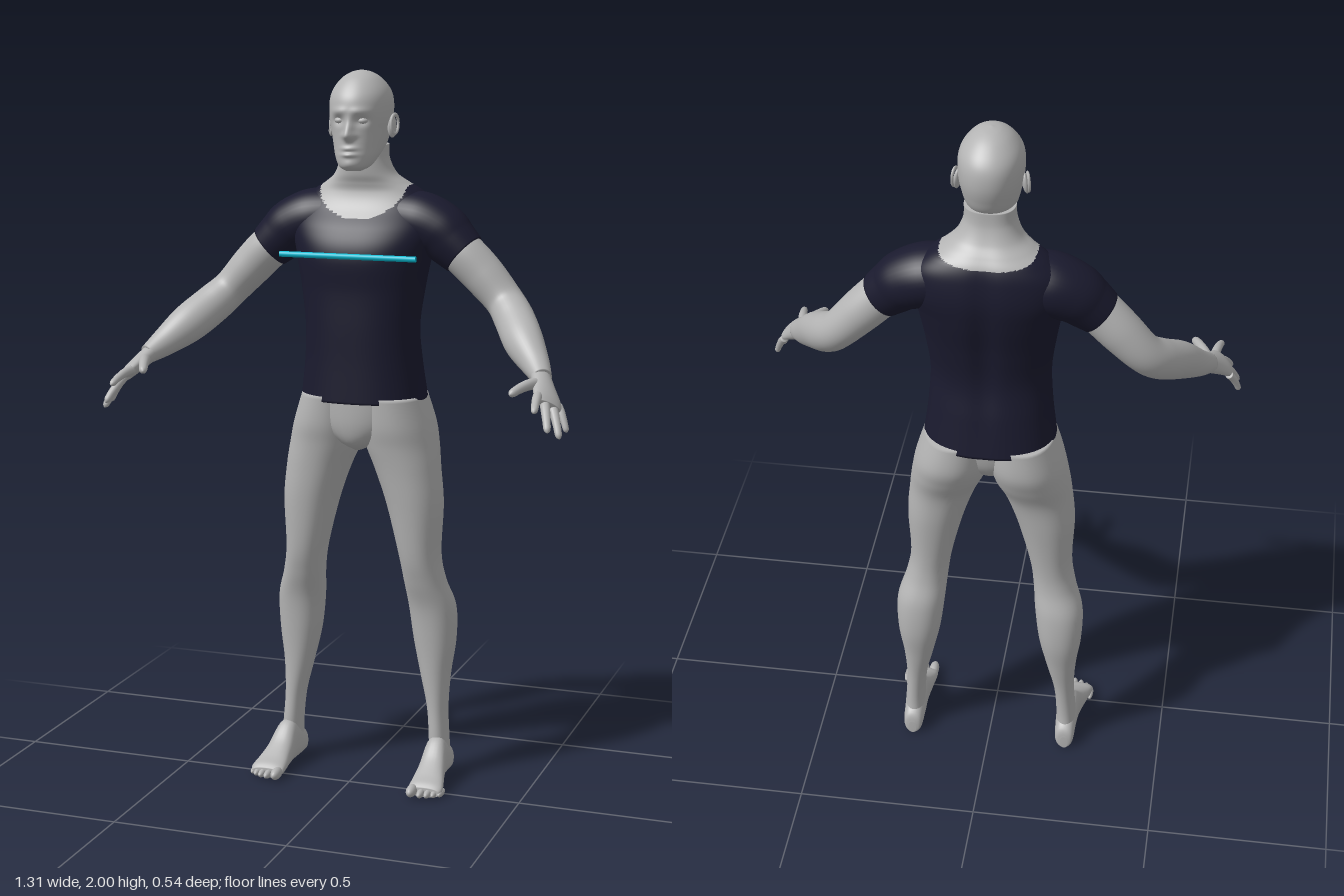
import * as THREE from 'three';

const mat = (name, color) => {
  const m = new THREE.MeshStandardMaterial({ color });
  m.name = name;
  return m;
};
const V3 = (x, y, z) => new THREE.Vector3(x, y, z);

// Smooth interpolation of a list of rows, 'steps' samples for each gap
function refine(rows, steps) {
  const out = [];
  const at = i => rows[Math.max(0, Math.min(rows.length - 1, i))];
  for (let i = 0; i < rows.length - 1; i++)
    for (let s = 0; s < steps; s++) {
      const t = s / steps;
      out.push(rows[i].map((p1, k) => {
        const p0 = at(i - 1)[k], p2 = at(i + 1)[k], p3 = at(i + 2)[k];
        return 0.5 * (2 * p1 + (p2 - p0) * t + (2 * p0 - 5 * p1 + 4 * p2 - p3) * t * t
          + (3 * p1 - p0 - 3 * p2 + p3) * t * t * t);
      }));
    }
  out.push(rows[rows.length - 1]);
  return out;
}

// Skin over rounded cross-sections; each row is [x, y, z, half width, half depth].
// 'axis' fixes the ring direction, otherwise rings follow the path.
function loft(name, rows, materials, o = {}) {
  const { ref = V3(1, 0, 0), axis, segs = 32, steps = 6, power = 2, sculpt, pick } = o;
  const r = refine(rows, steps), pos = [], tris = [[], []];
  const centre = i => V3(...r[Math.max(0, Math.min(r.length - 1, i))]);
  for (let i = 0; i < r.length; i++) {
    const T = axis || centre(i + 1).sub(centre(i - 1)).normalize();
    const U = ref.clone().addScaledVector(T, -ref.dot(T)).normalize();
    const W = T.clone().cross(U);
    for (let j = 0; j < segs; j++) {
      const a = j / segs * Math.PI * 2, c = Math.cos(a), s = Math.sin(a);
      const p = centre(i)
        .addScaledVector(U, Math.sign(c) * Math.abs(c) ** (2 / power) * r[i][3])
        .addScaledVector(W, Math.sign(s) * Math.abs(s) ** (2 / power) * r[i][4]);
      if (sculpt) sculpt(p);
      pos.push(p.x, p.y, p.z);
    }
  }
  const last = (r.length - 1) * segs, n = r.length * segs;
  pos.push(...centre(0).toArray(), ...centre(r.length - 1).toArray());
  const point = i => V3(pos[3 * i], pos[3 * i + 1], pos[3 * i + 2]);
  const tri = (a, b, c) => {
    const mid = point(a).add(point(b)).add(point(c)).divideScalar(3);
    tris[pick ? pick(mid) : 0].push(a, b, c);
  };
  for (let j = 0; j < segs; j++) {
    const k = (j + 1) % segs;
    for (let i = 0; i < last; i += segs) {
      tri(i + j, i + k, i + segs + k);
      tri(i + j, i + segs + k, i + segs + j);
    }
    tri(n, k, j);
    tri(n + 1, last + j, last + k);
  }
  const g = new THREE.BufferGeometry();
  g.setAttribute('position', new THREE.Float32BufferAttribute(pos, 3));
  g.setIndex([...tris[0], ...tris[1]]);
  if (pick) {
    g.addGroup(0, tris[0].length, 0);
    g.addGroup(tris[0].length, tris[1].length, 1);
  }
  g.computeVertexNormals();
  const m = new THREE.Mesh(g, materials);
  m.name = name;
  return m;
}

// Upright loft; each row is [y, x min, x max, z front, z back]
const upright = (name, rows, m, o) => loft(name,
  rows.map(([y, a, b, f, k]) => [(a + b) / 2, y, (f + k) / 2, (b - a) / 2, (f - k) / 2]),
  m, { axis: V3(0, 1, 0), ...o });
// Symmetric upright loft; each row is [y, half width, z front, z back]
const column = (name, rows, m, o) =>
  upright(name, rows.map(([y, w, f, k]) => [y, -w, w, f, k]), m, o);

function ball(name, m, p, s, rot = [0, 0, 0]) {
  const b = new THREE.Mesh(new THREE.SphereGeometry(1, 20, 14), m);
  b.name = name;
  b.position.set(...p);
  b.scale.set(...s);
  b.rotation.set(...rot);
  return b;
}

const bump = (d, w) => Math.exp(-((d / w) ** 2));

export function createModel() {
  const skin = mat('skin grey', 0xb4b4b4);
  const cloth = mat('shirt navy', 0x1a1a2e);
  const cyan = mat('bar cyan', 0x00bcd4);
  const model = new THREE.Group();
  model.name = 'figure';

  // Torso and neck in one surface, split along the scooped neckline
  const bare = p => {
    if (p.y > 1.705) return 1;
    if (Math.abs(p.x) > 0.125) return 0;
    const scoop = Math.sqrt(1 - (p.x / 0.125) ** 2);
    return p.y > 1.69 - (p.z > -0.16 ? 0.09 : 0.02) * scoop ? 1 : 0;
  };
  model.add(column('shirtAndNeck', [
    [1.095, 0.178, 0.002, -0.27], [1.2, 0.165, 0, -0.25], [1.3, 0.16, 0, -0.232],
    [1.4, 0.172, 0, -0.242], [1.5, 0.19, 0.005, -0.262], [1.57, 0.208, -0.02, -0.27],
    [1.63, 0.195, -0.065, -0.263], [1.67, 0.155, -0.082, -0.25], [1.695, 0.115, -0.08, -0.232],
    [1.72, 0.085, -0.072, -0.21], [1.76, 0.068, -0.068, -0.192], [1.8, 0.066, -0.07, -0.188],
  ], [cloth, skin], {
    segs: 88, steps: 10, power: 2.35, pick: bare,
    sculpt: p => { // spine groove
      if (p.z < -0.18) p.z += 0.012 * bump(p.x, 0.03) * bump(p.y - 1.42, 0.22);
    },
  }));

  // Head with brow, sockets, nose, lips and chin
  model.add(column('head', [
    [1.733, 0.022, -0.012, -0.06], [1.745, 0.042, 0.003, -0.1], [1.77, 0.057, 0.006, -0.14],
    [1.8, 0.068, 0.004, -0.185], [1.84, 0.077, 0.003, -0.205], [1.88, 0.083, 0.008, -0.215],
    [1.92, 0.083, 0.004, -0.213], [1.95, 0.074, -0.012, -0.198], [1.978, 0.052, -0.038, -0.168],
    [1.994, 0.027, -0.068, -0.137], [2, 0.002, -0.1, -0.104],
  ], skin, {
    segs: 96, steps: 10, power: 2.1,
    sculpt: p => {
      if (p.z < -0.06) return;
      const ax = Math.abs(p.x), dy = p.y - 1.828;
      p.z += 0.027 * bump(p.x, 0.011 + 0.004 * bump(dy, 0.01)) * bump(dy, dy > 0 ? 0.032 : 0.013)
        - 0.012 * bump(ax - 0.032, 0.018) * bump(p.y - 1.868, 0.013)
        + 0.005 * bump(ax - 0.028, 0.025) * bump(p.y - 1.893, 0.01)
        + 0.008 * bump(p.x, 0.02) * (bump(p.y - 1.794, 0.006) + bump(p.y - 1.777, 0.006))
        + 0.004 * bump(p.x, 0.02) * bump(p.y - 1.752, 0.012);
    },
  }));

  // Pelvis between the legs
  model.add(column('pelvis', [
    [0.955, 0.015, -0.06, -0.14], [0.98, 0.065, -0.022, -0.19],
    [1.03, 0.13, -0.006, -0.225], [1.11, 0.165, -0.004, -0.24],
  ], skin));

  // Chest bar
  const bar = new THREE.Mesh(new THREE.CylinderGeometry(0.008, 0.008, 0.39, 12), cyan);
  bar.name = 'chestBar';
  bar.rotation.z = Math.PI / 2;
  bar.position.set(0, 1.505, 0.017);
  model.add(bar);

  // Everything that comes in pairs, made for the left side
  const left = new THREE.Group();
  left.name = 'leftSide';
  left.add(
    ball('eye', skin, [0.032, 1.868, -0.017], [0.015, 0.009, 0.013]),
    ball('ear', skin, [0.085, 1.85, -0.108], [0.009, 0.032, 0.019], [-0.2, -0.3, 0.1]));
  const rim = new THREE.Mesh(new THREE.TorusGeometry(0.017, 0.004, 8, 24), skin);
  rim.name = 'earRim';
  rim.position.set(0.092, 1.855, -0.11);
  rim.rotation.set(-0.2, Math.PI / 2 - 0.3, 0);
  rim.scale.set(1, 1.5, 1);
  left.add(rim);

  // Sleeve and arm
  const across = V3(0, 0, 1);
  left.add(loft('sleeve', [
    [0.1, 1.595, -0.155, 0.085, 0.08], [0.16, 1.588, -0.152, 0.09, 0.082],
    [0.215, 1.564, -0.147, 0.083, 0.079], [0.25, 1.535, -0.142, 0.072, 0.072],
    [0.284, 1.505, -0.138, 0.062, 0.064],
  ], cloth, { ref: across, steps: 8, segs: 40 }));
  left.add(loft('arm', [
    [0.24, 1.54, -0.142, 0.055, 0.057], [0.284, 1.505, -0.138, 0.058, 0.06],
    [0.34, 1.45, -0.14, 0.058, 0.058], [0.4, 1.385, -0.132, 0.054, 0.052],
    [0.44, 1.342, -0.092, 0.054, 0.055], [0.487, 1.292, -0.02, 0.05, 0.054],
    [0.535, 1.245, 0.04, 0.037, 0.039], [0.565, 1.217, 0.085, 0.028, 0.026],
  ], skin, { ref: across, steps: 8, segs: 36 }));

  // Hand
  const spread = V3(-0.63, 0.44, 0.63);
  left.add(loft('palm', [
    [0.555, 1.225, 0.07, 0.027, 0.024], [0.578, 1.197, 0.113, 0.035, 0.021],
    [0.598, 1.172, 0.152, 0.044, 0.017], [0.608, 1.16, 0.172, 0.036, 0.01],
  ], skin, { ref: spread }));
  const finger = (name, a, b, r) => {
    const at = (t, lift, k) => [...V3(...a).lerp(V3(...b), t).toArray(), r * k, r * k]
      .map((v, i) => (i === 1 ? v + lift : v));
    left.add(loft(name, [at(0, 0, 1.1), at(0.35, 0.006, 1.05), at(0.7, 0.005, 0.9),
      at(0.92, 0.001, 0.75), at(1, 0, 0.15)], skin, { ref: spread, segs: 14, steps: 4 }));
  };
  finger('indexFinger', [0.576, 1.186, 0.168], [0.592, 1.16, 0.268], 0.0115);
  finger('middleFinger', [0.59, 1.175, 0.158], [0.622, 1.105, 0.243], 0.012);
  finger('ringFinger', [0.607, 1.163, 0.145], [0.644, 1.083, 0.205], 0.0115);
  finger('littleFinger', [0.62, 1.154, 0.125], [0.65, 1.09, 0.15], 0.01);
  finger('thumb', [0.562, 1.208, 0.11], [0.516, 1.194, 0.225], 0.014);

  // Leg
  left.add(upright('leg', [
    [0.03, 0.197, 0.253, -0.11, -0.2], [0.1, 0.196, 0.251, -0.1, -0.19],
    [0.2, 0.188, 0.245, -0.105, -0.195], [0.3, 0.165, 0.25, -0.105, -0.21],
    [0.4, 0.143, 0.263, -0.1, -0.225], [0.5, 0.13, 0.264, -0.09, -0.22],
    [0.58, 0.122, 0.24, -0.068, -0.198], [0.66, 0.11, 0.227, -0.05, -0.195],
    [0.8, 0.075, 0.232, -0.036, -0.21], [0.9, 0.04, 0.223, -0.028, -0.222],
    [0.97, 0.01, 0.213, -0.02, -0.25], [1.03, 0, 0.2, -0.01, -0.268],
    [1.11, 0, 0.174, -0.008, -0.262],
  ], skin, { segs: 44, power: 2.15 }));

  // Foot, each row [z, inner x, outer x, height]
  const foot = [
    [-0.21, 0.215, 0.237, 0.04], [-0.2, 0.199, 0.251, 0.07], [-0.15, 0.195, 0.255, 0.105],
    [-0.1, 0.194, 0.26, 0.125], [-0.045, 0.192, 0.27, 0.08], [0, 0.189, 0.281, 0.052],
    [0.03, 0.188, 0.286, 0.038], [0.045, 0.194, 0.28, 0.026],
  ];
  left.add(loft('foot', foot.map(([z, a, b, h]) => [(a + b) / 2, h / 2, z, (b - a) / 2, h / 2]),
    skin, { axis: V3(0, 0, 1), power: 2.4 }));
  for (let i = 0; i < 5; i++) {
    const r = i ? 0.0105 - i * 0.0004 : 0.0145;
    left.add(ball('toe' + (i + 1), skin,
      [[0.203, 0.229, 0.248, 0.265, 0.28][i], r * 1.15, 0.05 - i * i * 0.0018],
      [r, r * 1.15, i ? 0.027 : 0.03]));
  }

  const right = left.clone();
  right.name = 'rightSide';
  right.scale.x = -1;
  model.add(left, right);
  return model;
}
